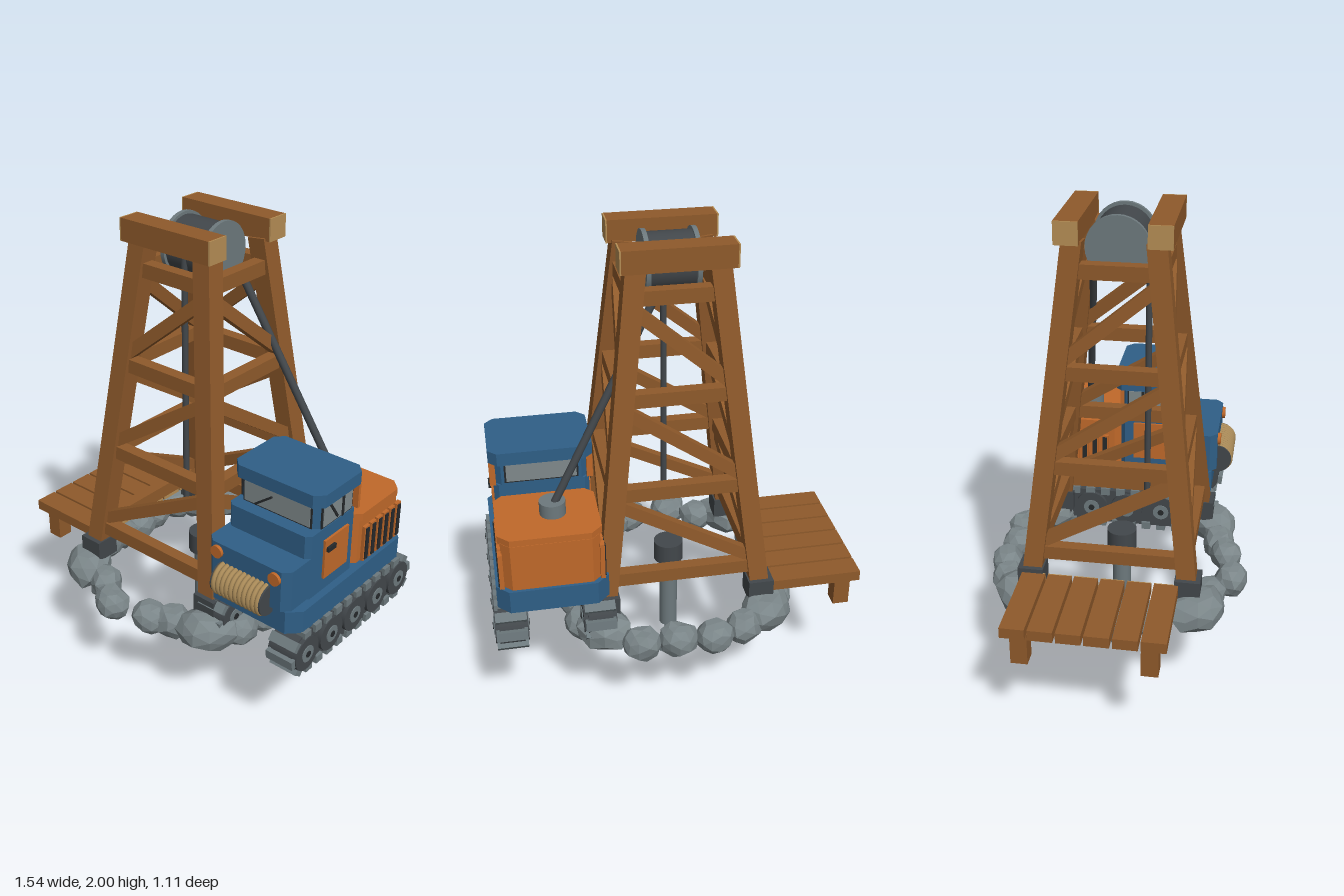
import * as THREE from 'three';

const mat = (name, color, side = THREE.FrontSide) => {
  const m = new THREE.MeshStandardMaterial({ color, side });
  m.name = name;
  return m;
};
const V = (x, y, z) => new THREE.Vector3(x, y, z);

export function createModel() {
  const wood = mat('wood', 0x8f5a2b), endGrain = mat('endGrain', 0xb58d54);
  const blue = mat('bluePaint', 0x2f5f87), orange = mat('orangePaint', 0xc0692a);
  const dark = mat('darkIron', 0x42474b), steel = mat('steel', 0x6d797d);
  const stone = mat('stone', 0x7b8689), glass = mat('glass', 0x7f898b);
  const black = mat('blackRubber', 0x26292b), rope = mat('hempRope', 0xa98a58);
  const root = new THREE.Group();

  const group = (name, parent = root) => {
    const g = new THREE.Group();
    g.name = name;
    parent.add(g);
    return g;
  };
  const add = (parent, name, geo, m, x = 0, y = 0, z = 0) => {
    const mesh = new THREE.Mesh(geo, m);
    mesh.name = name;
    mesh.position.set(x, y, z);
    parent.add(mesh);
    return mesh;
  };
  const box = (p, name, m, w, h, d, x, y, z) => add(p, name, new THREE.BoxGeometry(w, h, d), m, x, y, z);
  // cylinder lying along x
  const axle = (p, name, m, r, len, x, y, z, n = 24) =>
    add(p, name, new THREE.CylinderGeometry(r, r, len, n).rotateZ(Math.PI / 2), m, x, y, z);
  // straight member between two points
  const span = (p, name, m, a, b, geoFor) => {
    const dir = b.clone().sub(a), len = dir.length();
    const mesh = add(p, name, geoFor(len), m);
    mesh.position.copy(a).add(b).multiplyScalar(0.5);
    mesh.quaternion.setFromUnitVectors(V(0, 1, 0), dir.normalize());
  };
  const square = (w, d = w) => len => new THREE.BoxGeometry(w, len, d);
  const round = r => len => new THREE.CylinderGeometry(r, r, len, 10);
  // block with its four upright corners cut off
  const block = (p, name, m, w, d, y0, y1, x, z, c = 0.035) => {
    const a = w / 2, b = d / 2, s = new THREE.Shape();
    [[a, b - c], [a - c, b], [c - a, b], [-a, b - c], [-a, c - b], [c - a, -b], [a - c, -b], [a, c - b]]
      .forEach(([u, v], i) => (i ? s.lineTo(u, v) : s.moveTo(u, v)));
    const g = new THREE.ExtrudeGeometry(s, { depth: y1 - y0, bevelEnabled: false }).rotateX(-Math.PI / 2);
    return add(p, name, g, m, x, y0, z);
  };

  // ---- timber tower ----
  const CX = -0.02;
  const tower = group('tower');
  const half = y => THREE.MathUtils.mapLinear(y, 0.55, 1.95, 0.32, 0.155);
  const at = (sx, y, sz) => V(CX + sx * half(y), y, sz * half(y));
  const levels = [0.65, 1.02, 1.41, 1.805];
  for (const sx of [-1, 1]) for (const sz of [-1, 1]) {
    span(tower, 'leg', wood, at(sx, 0.54, sz), at(sx, 1.92, sz), square(0.078));
    box(tower, 'legSocket', dark, 0.105, 0.09, 0.105, CX + sx * 0.322, 0.545, sz * 0.322);
  }
  for (const s of [-1, 1]) {
    levels.forEach((y, i) => {
      span(tower, 'crossBar', wood, at(-1, y, s), at(1, y, s), square(0.058, 0.05));
      span(tower, 'crossBar', wood, at(s, y, -1), at(s, y, 1), square(0.05, 0.058));
      const top = levels[i + 1];
      if (!top) return;
      span(tower, 'diagonalBrace', wood, at(-1, y + 0.03, s), at(1, top - 0.04, s), square(0.05, 0.04));
      span(tower, 'diagonalBrace', wood, at(s, y + 0.03, -1), at(s, top - 0.04, 1), square(0.04, 0.05));
    });
    box(tower, 'topBeam', wood, 0.43, 0.09, 0.094, CX, 1.955, s * 0.175);
    for (const e of [-1, 1])
      box(tower, 'topBeamEnd', endGrain, 0.006, 0.09, 0.094, CX + e * 0.218, 1.955, s * 0.175);
  }

  // ---- hoist drum, ropes and drill ----
  const hoist = group('hoist');
  axle(hoist, 'drum', dark, 0.114, 0.19, CX, 1.873, 0, 32);
  for (const s of [-1, 1]) axle(hoist, 'drumFlange', steel, 0.126, 0.018, CX + s * 0.097, 1.873, 0, 32);
  span(hoist, 'hangingRope', dark, V(CX, 1.87, 0.108), V(CX, 0.785, 0.108), round(0.013));
  span(hoist, 'haulRope', dark, V(0.05, 1.79, -0.122), V(0.49, 0.97, -0.225), round(0.016));
  const drill = group('drill');
  add(drill, 'drillHead', new THREE.CylinderGeometry(0.064, 0.064, 0.09, 16), dark, CX, 0.545, 0);
  add(drill, 'drillShaft', new THREE.CylinderGeometry(0.04, 0.04, 0.37, 16), steel, CX, 0.33, 0);
  const tip = new THREE.ConeGeometry(0.06, 0.155, 8).toNonIndexed();
  tip.computeVertexNormals();
  add(drill, 'drillTip', tip, steel, CX, 0.0775, 0);

  // ---- ring of stones ----
  const stones = group('stoneRing');
  const rock = (x, z, rx, ry, rz, y, seed) => {
    const g = new THREE.IcosahedronGeometry(1, 1), p = g.attributes.position;
    for (let i = 0; i < p.count; i++) {
      const a = p.getX(i), b = p.getY(i), c = p.getZ(i);
      const k = 1 + 0.1 * Math.sin(a * 4 + seed * 2.3) * Math.cos(c * 5 + b * 3 + seed);
      p.setXYZ(i, a * k * rx, THREE.MathUtils.clamp(b * k, -0.85, 0.85) * ry, c * k * rz);
    }
    g.computeVertexNormals();
    add(stones, 'stone', g, stone, x, y, z).rotation.y = Math.atan2(x, z);
  };
  [[-0.25, -0.45], [-0.12, -0.49], [0.03, -0.48], [0.18, -0.48], [0.4, -0.3], [0.41, -0.16], [0.42, -0.02],
    [0.42, 0.13], [0.4, 0.27], [0.17, 0.41], [0.08, 0.45], [-0.11, 0.485], [-0.23, 0.4],
    [-0.44, 0.18], [-0.45, 0.08], [-0.44, -0.03], [-0.45, -0.14], [-0.43, -0.27]]
    .forEach(([x, z], i) => rock(x, z, 0.082, 0.075, 0.07, 0.435, i + 1));
  for (const sx of [-1, 1]) for (const sz of [-1, 1])
    rock(CX + sx * 0.345, sz * 0.365, 0.13, 0.09, 0.1, 0.45, 30 + sx * 3 + sz);

  // ---- plank platform ----
  const deck = group('platform');
  for (let i = 0; i < 6; i++) {
    const z = -0.307 + i * 0.109;
    box(deck, 'plank', wood, 0.384, 0.045, 0.098, -0.585, 0.55, z);
    box(deck, 'plankEnd', endGrain, 0.005, 0.045, 0.098, -0.3915, 0.55, z);
  }
  for (const z of [-0.29, 0.22]) box(deck, 'platformPost', wood, 0.068, 0.14, 0.068, -0.715, 0.46, z);

  // ---- tracked tractor ----
  const TX = 0.515;
  const tractor = group('tractor');
  const body = group('body', tractor);
  block(body, 'chassis', blue, 0.45, 0.76, 0.605, 0.705, TX, -0.025, 0.05);
  block(body, 'hood', blue, 0.39, 0.22, 0.715, 0.892, TX, 0.265, 0.03);
  box(body, 'hoodBase', dark, 0.34, 0.03, 0.2, TX, 0.708, 0.24);
  block(body, 'cabBase', blue, 0.39, 0.31, 0.70, 0.99, TX, 0.095, 0.02);
  block(body, 'cabTop', blue, 0.375, 0.25, 0.98, 1.1, TX, 0.065, 0.025);
  block(body, 'roof', blue, 0.42, 0.3, 1.095, 1.15, TX, 0.062, 0.035);
  block(body, 'engineBox', orange, 0.39, 0.34, 0.70, 0.91, TX, -0.222, 0.035);
  block(body, 'engineLid', orange, 0.41, 0.34, 0.905, 0.937, TX, -0.22, 0.045);
  add(body, 'ropeSocket', new THREE.CylinderGeometry(0.053, 0.053, 0.06, 20), steel, 0.49, 0.965, -0.218);

  // windows and wipers
  const pane = (name, m, w, h, d, x, y, z) => box(body, name, m, w, h, d, x, y, z);
  pane('windshieldFrame', black, 0.325, 0.102, 0.006, TX, 1.042, 0.191);
  pane('windshield', glass, 0.31, 0.09, 0.008, TX, 1.042, 0.193);
  pane('wiper', black, 0.1, 0.008, 0.008, TX - 0.06, 1.03, 0.2).rotation.z = 0.65;
  pane('rearWindowFrame', black, 0.3, 0.09, 0.006, TX, 1.045, -0.061);
  pane('rearWindow', glass, 0.285, 0.078, 0.008, TX, 1.045, -0.063);

  // details repeated on both flanks
  for (const s of [-1, 1]) {
    const X = d => TX + s * d;
    pane('sideWindowFrame', black, 0.006, 0.102, 0.2, X(0.189), 1.042, 0.07);
    pane('sideWindow', glass, 0.008, 0.09, 0.185, X(0.191), 1.042, 0.07);
    pane('sideWindowBar', black, 0.008, 0.095, 0.012, X(0.195), 1.042, 0.04);
    pane('sideWiper', black, 0.007, 0.09, 0.01, X(0.196), 1.045, 0.1).rotation.x = 0.6;
    pane('cabPillar', orange, 0.025, 0.105, 0.014, X(0.197), 1.042, -0.05);
    pane('door', orange, 0.012, 0.172, 0.155, X(0.199), 0.85, 0.078);
    pane('doorHandle', black, 0.014, 0.02, 0.05, X(0.209), 0.895, 0.122);
    for (let i = 0; i < 6; i++) {
      const z = -0.13 - i * 0.046;
      pane('ventFrame', orange, 0.018, 0.16, 0.034, X(0.2), 0.785, z);
      pane('ventSlot', black, 0.012, 0.145, 0.02, X(0.208), 0.785, z);
    }
    // headlight
    add(body, 'headlight', new THREE.CylinderGeometry(0.027, 0.027, 0.016, 20).rotateX(Math.PI / 2),
      orange, X(0.138), 0.855, 0.38);
  }

  // front winch wound with rope
  const winch = group('winch', tractor);
  axle(winch, 'winchCore', dark, 0.06, 0.22, TX - 0.005, 0.745, 0.372);
  for (const s of [-1, 1]) axle(winch, 'winchEnd', dark, 0.066, 0.012, TX - 0.005 + s * 0.115, 0.745, 0.372);
  const coil = new THREE.TorusGeometry(0.062, 0.0105, 8, 28).rotateY(Math.PI / 2);
  for (let i = 0; i < 11; i++) add(winch, 'ropeCoil', coil, rope, TX - 0.11 + i * 0.021, 0.745, 0.372);

  // crawler tracks: belt outline from two half circles, lugs spaced around it
  const ZF = 0.29, ZR = -0.35, TY = 0.51, R = 0.082, L = ZF - ZR, arc = Math.PI * R;
  const outline = new THREE.Shape();
  outline.absarc(ZF, TY, R, -Math.PI / 2, Math.PI / 2, false);
  outline.absarc(ZR, TY, R, Math.PI / 2, Math.PI * 1.5, false);
  const belt = new THREE.ExtrudeGeometry(outline, { depth: 0.1, bevelEnabled: false, curveSegments: 14 })
    .translate(0, 0, -0.05).rotateY(-Math.PI / 2);
  const lugAt = t => {
    if (t < L) return [ZR + t, TY - R, 0];
    if (t < L + arc) {
      const a = (t - L) / R;
      return [ZF + Math.sin(a) * R, TY - Math.cos(a) * R, a];
    }
    if (t < 2 * L + arc) return [ZF - (t - L - arc), TY + R, Math.PI];
    const a = Math.PI + (t - 2 * L - arc) / R;
    return [ZR + Math.sin(a) * R, TY - Math.cos(a) * R, a];
  };
  for (const s of [-1, 1]) {
    const track = group(s > 0 ? 'leftTrack' : 'rightTrack', tractor);
    const x = TX + s * 0.178;
    add(track, 'belt', belt, dark, x);
    for (let i = 0; i < 26; i++) {
      const [z, y, a] = lugAt((i * (2 * L + 2 * arc)) / 26);
      box(track, 'lug', steel, 0.125, 0.034, 0.04, x, y, z).rotation.x = -a;
    }
    for (let i = 0; i < 5; i++) {
      const z = 0.295 - i * 0.161;
      axle(track, 'wheel', dark, 0.074, 0.134, x, TY, z);
      axle(track, 'hub', steel, 0.036, 0.142, x, TY, z, 16);
      axle(track, 'hubBolt', black, 0.014, 0.148, x, TY, z, 10);
    }
  }
  box(tractor, 'trackFrame', dark, 0.3, 0.08, 0.5, TX, 0.58, -0.03);
  return root;
}
